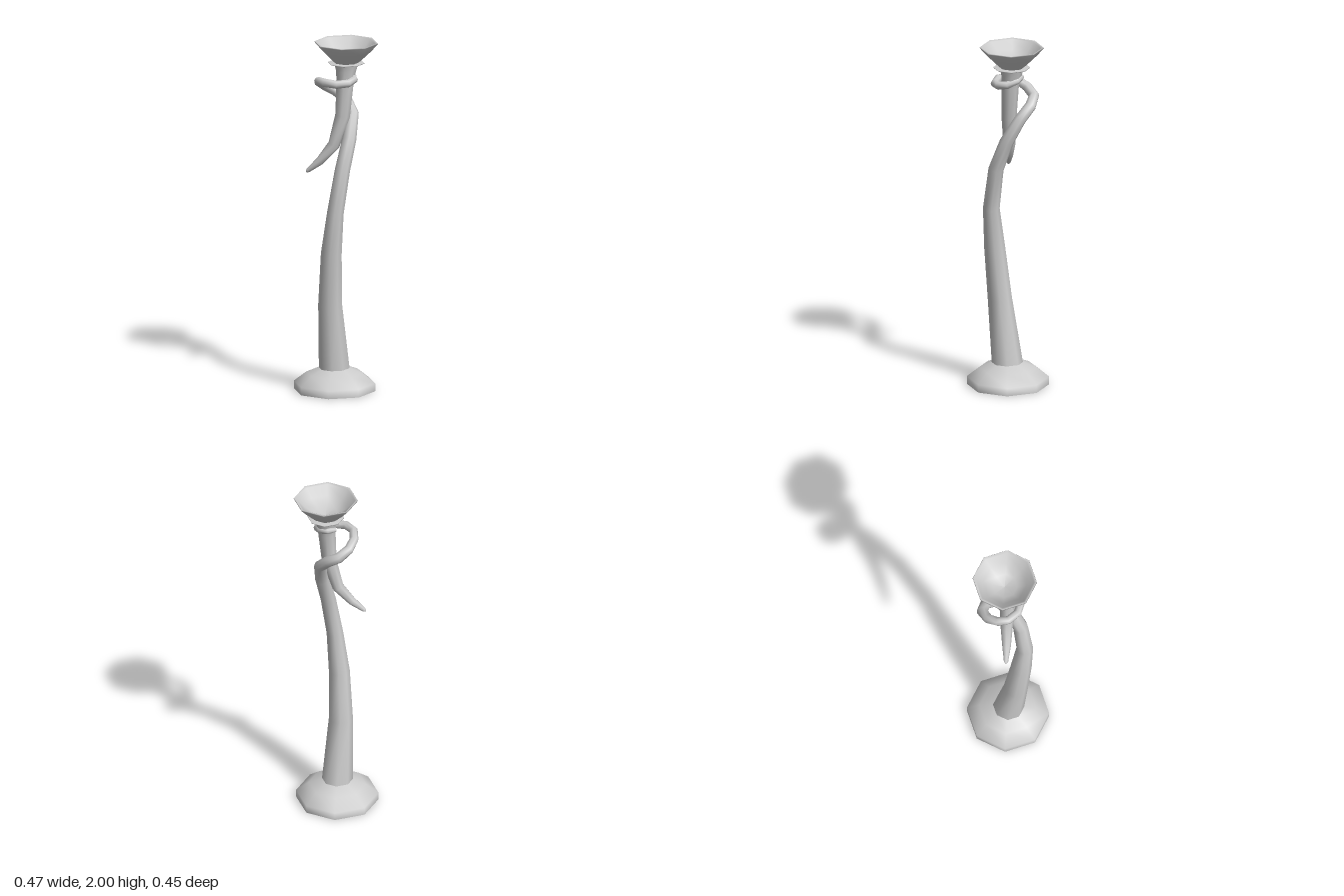
import * as THREE from 'three';

const SIDES = 8;
const PHASE = 0.595; // shared turn of the octagons
const material = new THREE.MeshStandardMaterial({ color: 0xcccccc, side: THREE.DoubleSide });

function addMesh(group, name, geometry) {
  const mesh = new THREE.Mesh(geometry, material);
  mesh.name = name;
  group.add(mesh);
  return mesh;
}

// Octagonal turned shape from [radius, y] pairs
function turned(profile) {
  return new THREE.LatheGeometry(profile.map(([r, y]) => new THREE.Vector2(r, y)), SIDES, PHASE);
}

// Faceted limb swept along [x, y, z, radius] stations, with a frame carried along the path
function limb(stations) {
  const pts = stations.map(([x, y, z]) => new THREE.Vector3(x, y, z));
  const normal = new THREE.Vector3(Math.sin(PHASE), 0, Math.cos(PHASE));
  const positions = [], index = [];
  const last = pts.length - 1;
  pts.forEach((p, i) => {
    const before = p.clone().sub(pts[Math.max(i - 1, 0)]).normalize();
    const after = pts[Math.min(i + 1, last)].clone().sub(p).normalize();
    const tangent = before.add(after).normalize();
    normal.addScaledVector(tangent, -normal.dot(tangent)).normalize();
    const binormal = tangent.clone().cross(normal);
    for (let j = 0; j < SIDES; j++) {
      const a = (j / SIDES) * Math.PI * 2;
      const v = p.clone()
        .addScaledVector(normal, Math.cos(a) * stations[i][3])
        .addScaledVector(binormal, Math.sin(a) * stations[i][3]);
      positions.push(v.x, v.y, v.z);
      if (i < last) {
        const k = (j + 1) % SIDES, r = i * SIDES, s = r + SIDES;
        index.push(r + j, r + k, s + k, r + j, s + k, s + j);
      }
    }
  });
  // Close the far end
  const end = last * SIDES;
  for (let j = 1; j < SIDES - 1; j++) index.push(end, end + j, end + j + 1);
  const geometry = new THREE.BufferGeometry();
  geometry.setAttribute('position', new THREE.Float32BufferAttribute(positions, 3));
  geometry.setIndex(index);
  geometry.computeVertexNormals();
  return geometry;
}

export function createModel() {
  const group = new THREE.Group();
  group.name = 'candlestick';

  // Hollow domed foot, open underneath
  const foot = addMesh(group, 'foot', turned([
    [0.231, 0], [0.231, 0.045], [0.16, 0.1], [0.085, 0.13],
  ]));
  foot.position.set(-0.009, 0, -0.002);

  // Stem bends upward, then thins into a coil around the neck
  addMesh(group, 'stem', limb([
    [-0.01, 0.11, 0, 0.088],
    [-0.035, 0.5, 0.04, 0.068],
    [-0.03, 0.8, 0.07, 0.059],
    [-0.008, 1.04, 0.093, 0.047],
    [0.032, 1.28, 0.073, 0.043],
    [0.073, 1.45, 0.02, 0.04],
    [0.095, 1.58, -0.05, 0.034],
    [0.06, 1.65, -0.118, 0.032],
    [0, 1.69, -0.148, 0.03],
    [-0.06, 1.725, -0.12, 0.028],
    [-0.095, 1.757, -0.07, 0.026],
    [-0.1, 1.777, -0.01, 0.024],
    [-0.065, 1.78, 0.045, 0.024],
    [0, 1.775, 0.075, 0.023],
    [0.065, 1.78, 0.065, 0.023],
    [0.1, 1.792, 0.02, 0.022],
    [0.09, 1.81, -0.035, 0.021],
    [0.05, 1.82, -0.066, 0.018],
    [0.005, 1.82, -0.055, 0.012],
  ]));

  // Neck under the cup runs down into a curling tail
  addMesh(group, 'neckAndTail', limb([
    [0.056, 1.885, -0.012, 0.07],
    [0.055, 1.83, -0.01, 0.056],
    [0.05, 1.77, -0.004, 0.049],
    [0.036, 1.58, 0, 0.042],
    [-0.012, 1.41, -0.01, 0.034],
    [-0.09, 1.315, -0.02, 0.024],
    [-0.158, 1.257, -0.031, 0.012],
    [-0.166, 1.25, -0.032, 0.004],
  ]));

  // Thin collar and open cup
  const collar = addMesh(group, 'collar', turned([
    [0.05, 1.875], [0.103, 1.879], [0.103, 1.883], [0.05, 1.886],
  ]));
  const cup = addMesh(group, 'cup', turned([
    [0.06, 1.875], [0.085, 1.897], [0.14, 1.95], [0.181, 1.995], [0.178, 2],
    [0.164, 1.994], [0.122, 1.945], [0.07, 1.907], [0, 1.895],
  ]));
  for (const part of [collar, cup]) part.position.set(0.057, 0, -0.012);

  return group;
}
